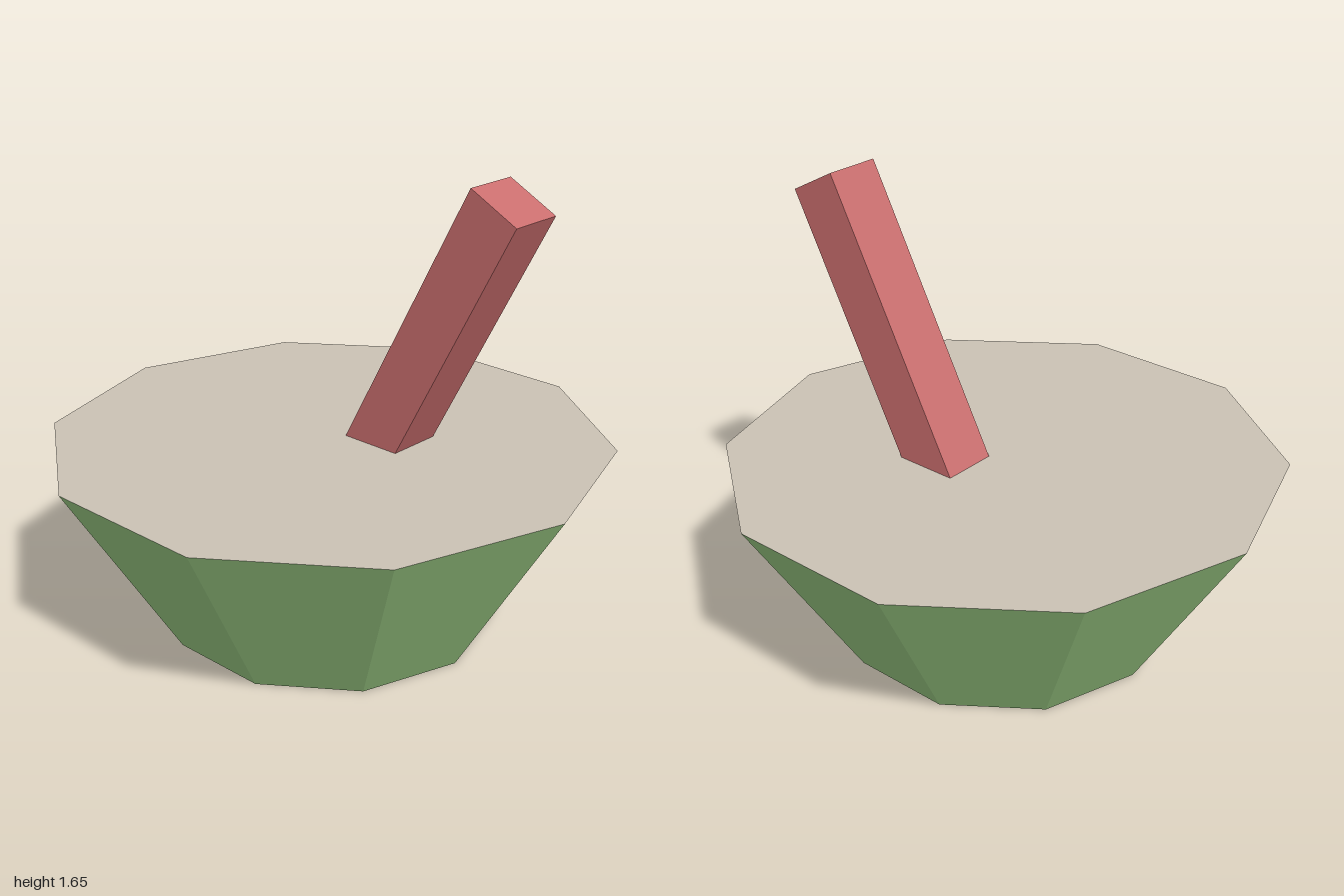
import * as THREE from 'three';

const HEIGHT = 0.675;
const SIDES = 10;

function material(name, color) {
  const m = new THREE.MeshStandardMaterial({ color, flatShading: true, side: THREE.DoubleSide });
  m.name = name;
  return m;
}

function part(name, geometry, mat) {
  const mesh = new THREE.Mesh(geometry, mat);
  mesh.name = name;
  return mesh;
}

export function createModel() {
  const group = new THREE.Group();
  group.name = 'bowlWithStick';

  // Open-bottomed, ten-sided flaring wall with a corner on +x
  const wall = part(
    'bowlWall',
    new THREE.CylinderGeometry(1, 0.59, HEIGHT, SIDES, 1, true, Math.PI / 2),
    material('leafGreen', 0x97c681)
  );
  wall.position.y = HEIGHT / 2;

  // Flat filling, level with the rim
  const filling = part('filling', new THREE.CircleGeometry(1, SIDES), material('paleBeige', 0xcac2b4));
  filling.rotation.x = -Math.PI / 2;
  filling.position.y = HEIGHT;

  // Square stick leaning towards +x, its foot sunk just below the filling
  const length = 1.2;
  const tilt = THREE.MathUtils.degToRad(27.8);
  const stick = part('stick', new THREE.BoxGeometry(0.204, length, 0.204), material('dustyRed', 0xca6e6e));
  stick.rotation.z = -tilt;
  stick.position.set(
    0.64 - Math.sin(tilt) * length / 2,
    1.607 - Math.cos(tilt) * length / 2,
    -0.148
  );

  group.add(wall, filling, stick);
  return group;
}
